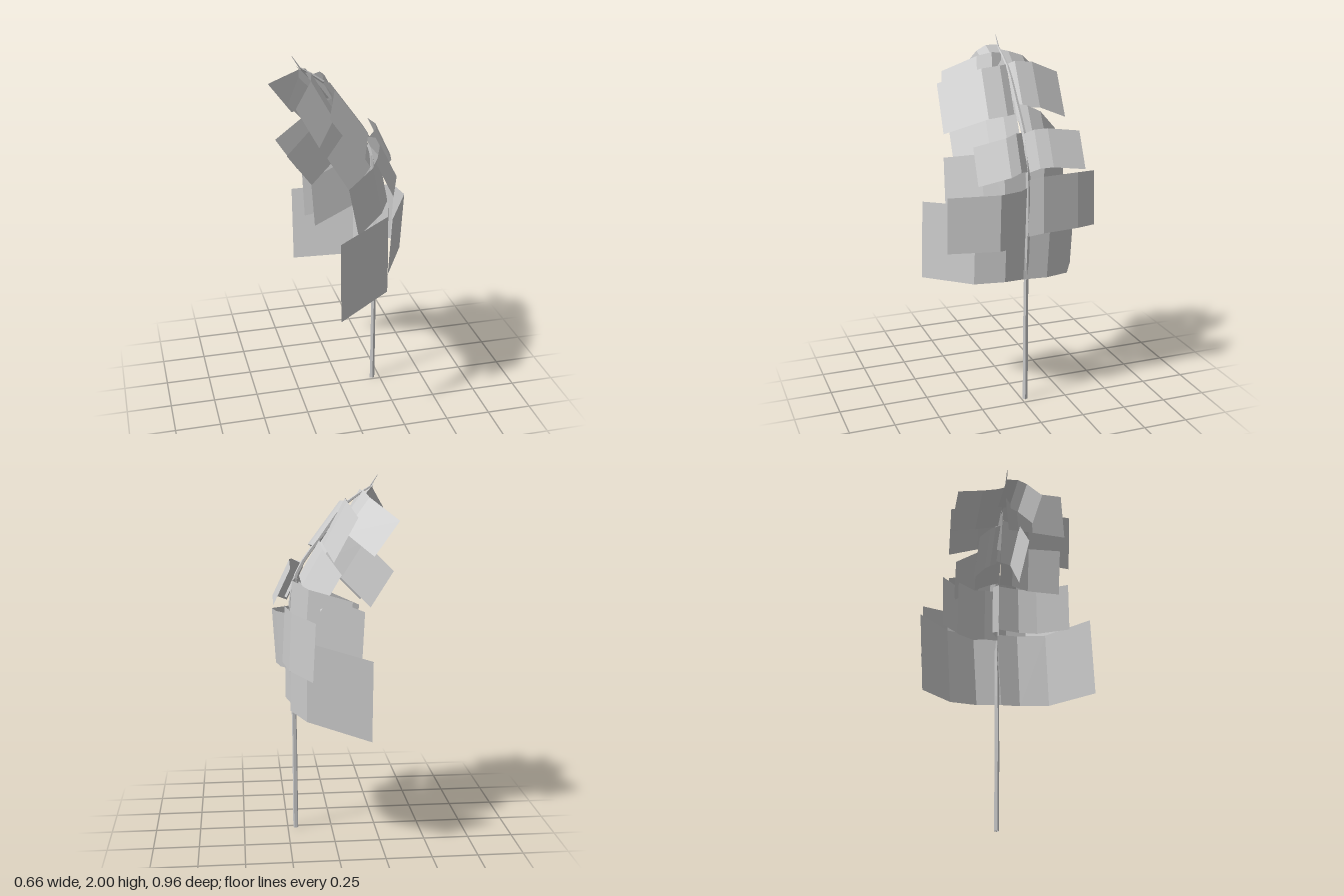
import * as THREE from 'three';

const material = new THREE.MeshStandardMaterial({ color: 0xcccccc, flatShading: true, side: THREE.DoubleSide });

// Bent leaf strip: upper edge runs from stem to tip, the lower edge is offset by a width vector
function leaflet(name, width, ...edge) {
  const pos = [], index = [];
  edge.forEach(([x, y, z], i) => {
    pos.push(x, y, z, x + width[0], y + width[1], z + width[2]);
    if (i) {
      const a = 2 * i - 2;
      index.push(a, a + 1, a + 2, a + 1, a + 3, a + 2);
    }
  });
  const geo = new THREE.BufferGeometry();
  geo.setAttribute('position', new THREE.Float32BufferAttribute(pos, 3));
  geo.setIndex(index);
  geo.computeVertexNormals();
  const mesh = new THREE.Mesh(geo, material);
  mesh.name = name;
  return mesh;
}

// Slim five-sided stem, tapering to a hooked tip
function makeStem() {
  const path = new THREE.CatmullRomCurve3([
    [0.205, 0, -0.022], [0.21, 0.7, -0.022], [0.23, 1.2, -0.025], [0.19, 1.47, -0.025],
    [0.05, 1.68, -0.025], [-0.08, 1.85, -0.022], [-0.2, 1.93, -0.018], [-0.235, 1.96, -0.016], [-0.25, 2, -0.015],
  ].map((p) => new THREE.Vector3(...p)));
  const segs = 28, sides = 5;
  const geo = new THREE.TubeGeometry(path, segs, 0.015, sides);
  const p = geo.attributes.position, v = new THREE.Vector3();
  for (let i = 0; i < p.count; i++) {
    const t = Math.floor(i / (sides + 1)) / segs;
    const c = path.getPointAt(t);
    v.fromBufferAttribute(p, i).sub(c).multiplyScalar(1 - 0.3 * t - 0.6 * t ** 12).add(c);
    p.setXYZ(i, v.x, v.y, v.z);
  }
  const mesh = new THREE.Mesh(geo, material);
  mesh.name = 'stem';
  return mesh;
}

export function createModel() {
  const group = new THREE.Group();
  group.name = 'leafFrond';
  group.add(makeStem());

  // Front leaflets, lowest to highest
  group.add(
    leaflet('frontLeafletLowest', [0, -0.44, 0.015],
      [0.22, 1.17, -0.02], [0.25, 1.18, 0.1], [0.2, 1.17, 0.26], [-0.11, 1.13, 0.465]),
    leaflet('frontLeafletLow', [-0.02, -0.315, 0],
      [0.23, 1.25, -0.02], [0.3, 1.255, 0.04], [0.32, 1.25, 0.16], [0.18, 1.22, 0.41]),
    leaflet('frontLeafletMiddle', [0.05, -0.26, 0.01],
      [0.18, 1.47, -0.02], [0.19, 1.46, 0.1], [0.13, 1.43, 0.2], [-0.04, 1.385, 0.36]),
    leaflet('frontLeafletSmall', [0.095, -0.19, 0.005],
      [0.15, 1.53, -0.02], [0.19, 1.54, 0.03], [0.2, 1.52, 0.09], [0.135, 1.47, 0.25]),
    leaflet('frontLeafletUpperMiddle', [0.13, -0.21, 0.01],
      [0.03, 1.68, -0.02], [0.02, 1.67, 0.05], [0, 1.63, 0.14], [-0.14, 1.545, 0.3]),
    leaflet('frontLeafletInner', [0.14, -0.19, -0.04],
      [-0.04, 1.79, -0.02], [-0.06, 1.75, 0.08], [-0.31, 1.5, 0.1]),
    leaflet('frontLeafletUpper', [0.175, -0.24, 0.02],
      [-0.09, 1.86, -0.02], [-0.06, 1.86, 0.03], [-0.06, 1.85, 0.135], [-0.14, 1.77, 0.36]),
    leaflet('frontLeafletHigh', [0.11, -0.2, 0.035],
      [-0.18, 1.91, -0.02], [-0.16, 1.92, 0.04], [-0.18, 1.9, 0.12], [-0.295, 1.81, 0.285]),
    leaflet('frontLeafletTop', [0.11, -0.12, -0.04],
      [-0.23, 1.95, -0.015], [-0.23, 1.95, 0.05], [-0.24, 1.92, 0.1], [-0.315, 1.8, 0.175]),
  );

  // Rear leaflets, lowest to highest
  group.add(
    leaflet('rearLeafletLowest', [0, -0.44, 0.025],
      [0.22, 1.17, -0.02], [0.235, 1.17, -0.16], [0.155, 1.15, -0.315], [-0.175, 1.08, -0.48]),
    leaflet('rearLeafletLow', [0.015, -0.31, 0],
      [0.23, 1.29, -0.02], [0.26, 1.31, -0.1], [0.235, 1.31, -0.31], [0.12, 1.28, -0.46]),
    leaflet('rearLeafletMiddle', [0.02, -0.29, 0.01],
      [0.19, 1.45, -0.02], [0.22, 1.45, -0.12], [0.14, 1.42, -0.25], [-0.08, 1.37, -0.36]),
    leaflet('rearLeafletInner', [0.015, -0.31, 0],
      [0.18, 1.43, -0.02], [0.15, 1.42, -0.1], [0.08, 1.38, -0.17], [-0.155, 1.3, -0.275]),
    leaflet('rearLeafletInmost', [0.02, -0.28, 0],
      [0.19, 1.42, -0.02], [0.09, 1.41, -0.06], [-0.15, 1.3, -0.05]),
    leaflet('rearLeafletSmall', [0.09, -0.19, 0],
      [0.17, 1.53, -0.02], [0.22, 1.56, -0.06], [0.235, 1.565, -0.13], [0.24, 1.54, -0.31]),
    leaflet('rearLeafletUpperMiddle', [0.11, -0.19, 0],
      [0.05, 1.67, -0.02], [0.07, 1.66, -0.08], [0.06, 1.62, -0.16], [-0.03, 1.5, -0.285]),
    leaflet('rearLeafletWide', [0.125, -0.19, -0.02],
      [-0.02, 1.77, -0.02], [-0.06, 1.73, -0.06], [-0.17, 1.65, -0.1], [-0.32, 1.5, -0.175]),
    leaflet('rearLeafletUpper', [0.125, -0.23, 0],
      [-0.09, 1.86, -0.02], [-0.07, 1.88, -0.06], [-0.07, 1.87, -0.16], [-0.11, 1.8, -0.325]),
    leaflet('rearLeafletTop', [0.135, -0.18, -0.03],
      [-0.18, 1.93, -0.015], [-0.17, 1.92, -0.06], [-0.19, 1.89, -0.15], [-0.33, 1.78, -0.3]),
  );
  return group;
}
